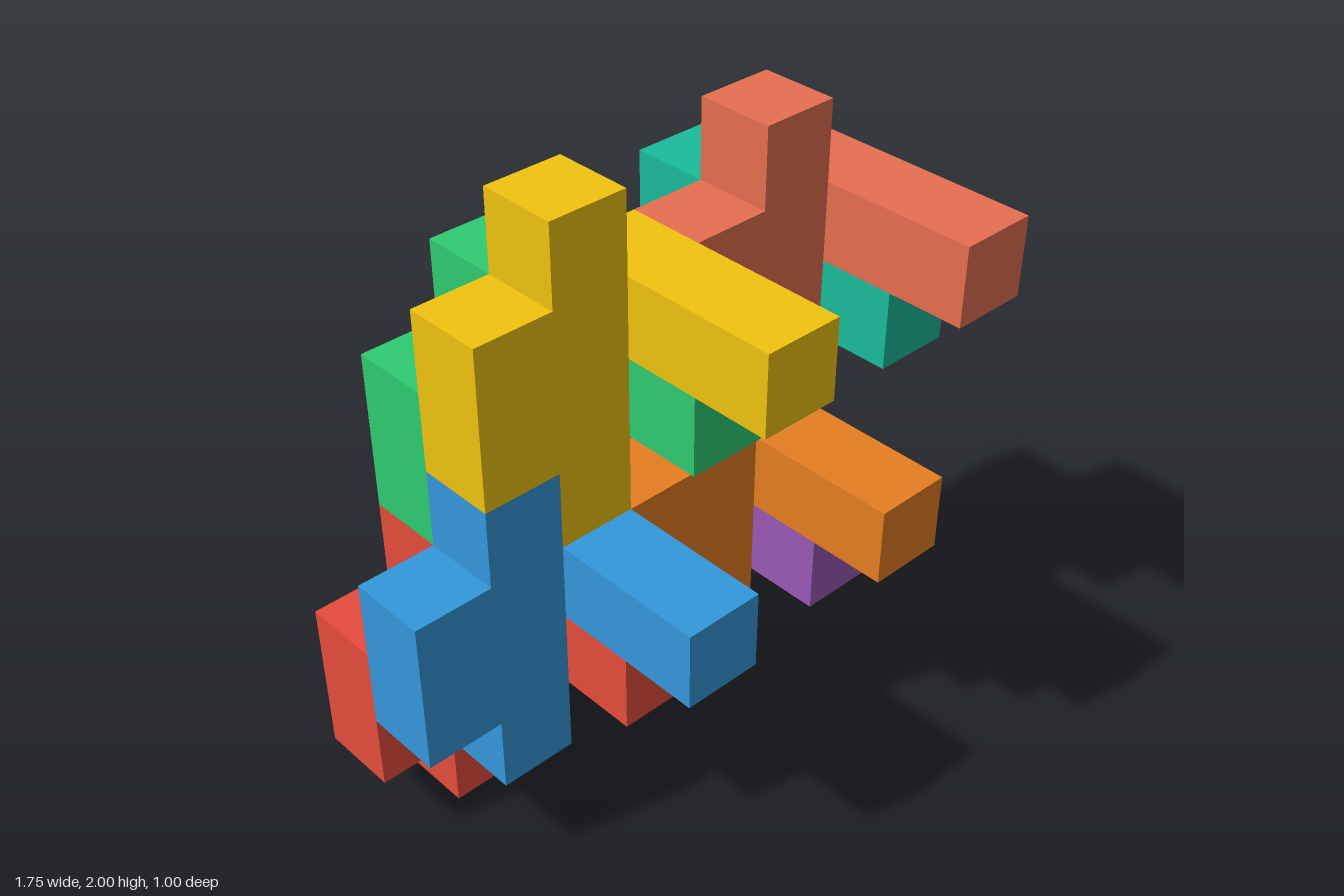
import * as THREE from 'three';

const U = 0.25; // cell size

// Flat part of a block: a four-cell column with a two-cell bump on its right-hand side
function slabGeometry() {
  const outline = [[0, 2], [1, 2], [1, 1], [2, 1], [2, 5], [1, 5], [1, 4], [0, 4]];
  const shape = new THREE.Shape(outline.map(([x, y]) => new THREE.Vector2(x * U, y * U)));
  return new THREE.ExtrudeGeometry(shape, { depth: U, bevelEnabled: false });
}

// Three-cell bar that reaches forward from the other side of the column
function armGeometry() {
  return new THREE.BoxGeometry(U, U, 3 * U).translate(2.5 * U, 3.5 * U, 1.5 * U);
}

// name, colour, shift in cells: column, row, layer
const BLOCKS = [
  ['frontLowerRightBlock', 0x3498db, 0, 0, 1],
  ['frontLowerLeftBlock', 0xe67e22, 3, 0, 1],
  ['frontUpperRightBlock', 0xf1c40f, 1, 3, 1],
  ['frontUpperLeftBlock', 0xe76f51, 4, 3, 1],
  ['backLowerRightBlock', 0xe74c3c, 0, -1, 0],
  ['backLowerLeftBlock', 0x9b59b6, 3, -1, 0],
  ['backUpperRightBlock', 0x2ecc71, 1, 2, 0],
  ['backUpperLeftBlock', 0x1abc9c, 4, 2, 0],
];

export function createModel() {
  const model = new THREE.Group();
  model.name = 'interlockingBlocks';
  const slab = slabGeometry();
  const arm = armGeometry();

  // Eight identical blocks, stepped in two layers
  for (const [name, color, column, row, layer] of BLOCKS) {
    const block = new THREE.Group();
    block.name = name;
    const material = new THREE.MeshStandardMaterial({ color });
    for (const [part, geometry] of [['slab', slab], ['arm', arm]]) {
      const mesh = new THREE.Mesh(geometry, material);
      mesh.name = part;
      block.add(mesh);
    }
    block.position.set((column - 3.5) * U, row * U, (layer - 2) * U);
    model.add(block);
  }
  return model;
}
